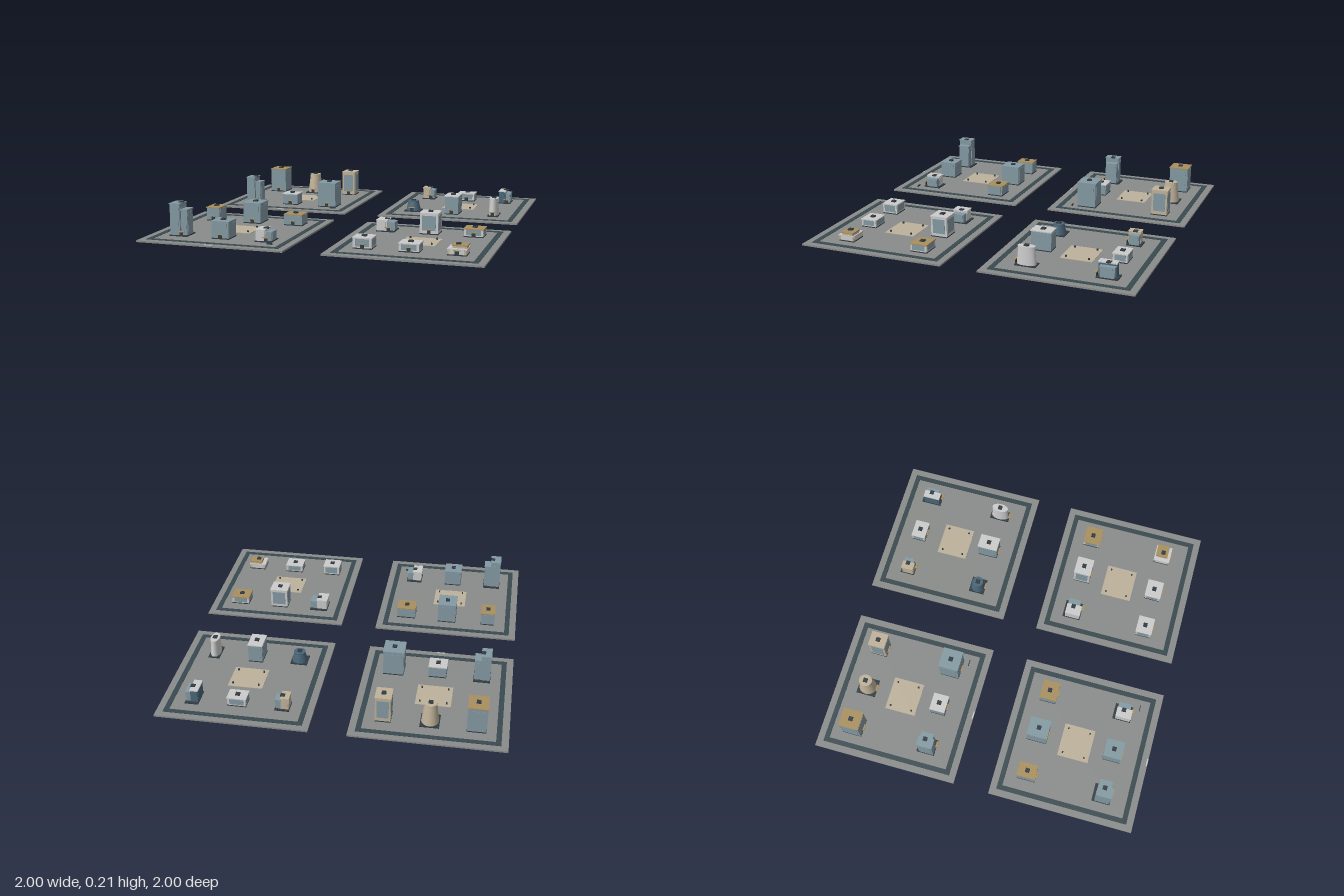
import * as THREE from 'three';

const mat = (color) => new THREE.MeshStandardMaterial({ color });
const M = {
  ground: mat(0x898c8a), road: mat(0x3a4a50), plaza: mat(0xbcb19b), dark: mat(0x323c42),
  blue: mat(0x849aa3), deep: mat(0x4a6678), pale: mat(0xbfc3c1), tan: mat(0xc0b29a), gold: mat(0xa88f5e),
};
const GROUND = 0.01;

// Box standing on height y
function box(parent, name, w, h, d, x, y, z, m) {
  const mesh = new THREE.Mesh(new THREE.BoxGeometry(w, h, d), m);
  mesh.name = name;
  mesh.position.set(x, y + h / 2, z);
  parent.add(mesh);
  return mesh;
}

// Dark plinth, gold canopy over a front door
function baseAndDoor(g, w, d, doorX = 0) {
  box(g, 'plinth', w, 0.006, d, 0, 0, 0, M.dark);
  box(g, 'door', 0.022, 0.022, 0.004, doorX, 0.004, d / 2, M.dark);
  box(g, 'canopy', 0.04, 0.004, 0.014, doorX, 0.027, d / 2 + 0.003, M.gold);
}

// Rooftop vent
function vent(g, x, y, z) {
  box(g, 'roofVent', 0.026, 0.008, 0.026, x, y, z, M.dark);
}

// Walls with a framed panel on each side and a thin roof slab
function mass(g, w, h, d, x, y, z, wall, panel, roof) {
  box(g, 'walls', w - 0.006, h - 0.006, d - 0.006, x, y, z, wall);
  const ph = h * 0.72, py = y + h * 0.14;
  box(g, 'sidePanels', w - 0.003, ph, d * 0.72, x, py, z, panel);
  box(g, 'facadePanels', w * 0.72, ph, d - 0.003, x, py, z, panel);
  box(g, 'roofSlab', w, 0.006, d, x, y + h - 0.006, z, roof);
}

// Plain block building
function block(g, { w, d, h, wall, roof }) {
  baseAndDoor(g, w - 0.004, d - 0.004);
  mass(g, w, h - 0.006, d, 0, 0.006, 0, wall, M.blue, roof);
  vent(g, 0, h, 0);
}

// Tall part with a lower wing on the +x side
function stepped(g, { w, d, h, wall, roof }) {
  baseAndDoor(g, w, d, w * 0.18);
  mass(g, w * 0.62, h - 0.006, d * 0.86, -w * 0.19, 0.006, d * 0.05, wall, wall, roof);
  mass(g, w * 0.46, h * 0.82 - 0.006, d * 0.7, w * 0.26, 0.006, 0, M.blue, M.blue, M.blue);
  vent(g, 0, h - 0.003, 0);
}

// Tapered round or oval tower on a square plinth
function round(g, { w, d, h, wall, roof, taper }) {
  baseAndDoor(g, w, d);
  const tower = new THREE.Mesh(new THREE.CylinderGeometry(taper * 0.5, 0.5, h - 0.006, 24), wall);
  tower.name = 'taperedTower';
  tower.scale.set(w * 0.92, 1, d * 0.92);
  tower.position.y = 0.006 + (h - 0.006) / 2;
  const cap = new THREE.Mesh(new THREE.CylinderGeometry(taper * 0.53, taper * 0.53, 0.005, 24), roof);
  cap.name = 'roofCap';
  cap.scale.copy(tower.scale);
  cap.position.y = h;
  g.add(tower, cap);
  vent(g, 0, h + 0.002, 0);
}

// Broad storey with a smaller one on top
function tiered(g, { w, d, h, wall, roof }) {
  baseAndDoor(g, w - 0.004, d - 0.004);
  mass(g, w, h * 0.62, d, 0, 0.004, 0, wall, M.pale, M.pale);
  mass(g, w * 0.76, h * 0.38, d * 0.76, 0.012, h * 0.62, -0.006, wall, wall, roof);
  vent(g, 0, h, 0);
}

const { blue, deep, pale, tan, gold, dark } = M;
// Six buildings per block: back row then front row, each from -x to +x
const blocks = [
  { name: 'backRightBlock', x: -0.555, z: -0.555, sign: true, buildings: [
    [block, { w: 0.115, d: 0.125, h: 0.165, wall: blue, roof: gold }],
    [round, { w: 0.11, d: 0.12, h: 0.13, wall: tan, roof: tan, taper: 0.7 }],
    [block, { w: 0.095, d: 0.105, h: 0.165, wall: tan, roof: tan }],
    [stepped, { w: 0.1, d: 0.112, h: 0.175, wall: blue, roof: blue }],
    [block, { w: 0.11, d: 0.097, h: 0.075, wall: blue, roof: pale }],
    [block, { w: 0.128, d: 0.125, h: 0.163, wall: blue, roof: blue }],
  ] },
  { name: 'backLeftBlock', x: 0.555, z: -0.555, buildings: [
    [stepped, { w: 0.085, d: 0.09, h: 0.08, wall: tan, roof: tan }],
    [block, { w: 0.115, d: 0.09, h: 0.055, wall: pale, roof: pale }],
    [stepped, { w: 0.08, d: 0.125, h: 0.085, wall: deep, roof: pale }],
    [round, { w: 0.102, d: 0.098, h: 0.065, wall: deep, roof: deep, taper: 0.72 }],
    [block, { w: 0.092, d: 0.128, h: 0.12, wall: blue, roof: pale }],
    [round, { w: 0.068, d: 0.125, h: 0.11, wall: pale, roof: pale, taper: 0.85 }],
  ] },
  { name: 'frontRightBlock', x: -0.555, z: 0.555, sign: true, buildings: [
    [block, { w: 0.09, d: 0.115, h: 0.085, wall: blue, roof: gold }],
    [block, { w: 0.118, d: 0.128, h: 0.128, wall: blue, roof: blue }],
    [block, { w: 0.12, d: 0.105, h: 0.07, wall: blue, roof: gold }],
    [stepped, { w: 0.11, d: 0.112, h: 0.192, wall: blue, roof: blue }],
    [block, { w: 0.112, d: 0.112, h: 0.105, wall: blue, roof: blue }],
    [stepped, { w: 0.1, d: 0.112, h: 0.072, wall: pale, roof: pale }],
  ] },
  { name: 'frontLeftBlock', x: 0.555, z: 0.555, buildings: [
    [stepped, { w: 0.112, d: 0.112, h: 0.07, wall: pale, roof: pale }],
    [block, { w: 0.115, d: 0.108, h: 0.128, wall: pale, roof: pale }],
    [block, { w: 0.118, d: 0.108, h: 0.05, wall: pale, roof: gold }],
    [block, { w: 0.113, d: 0.102, h: 0.065, wall: pale, roof: pale }],
    [block, { w: 0.118, d: 0.102, h: 0.05, wall: pale, roof: pale }],
    [tiered, { w: 0.11, d: 0.102, h: 0.055, wall: tan, roof: gold }],
  ] },
];

function cityBlock({ name, x, z, sign, buildings }) {
  const g = new THREE.Group();
  g.name = name;
  g.position.set(x, 0, z);
  box(g, 'groundSlab', 0.89, GROUND, 0.89, 0, 0, 0, M.ground);

  // Ring road
  for (const s of [-1, 1]) {
    box(g, 'roadAcross', 0.81, 0.002, 0.03, 0, GROUND, s * 0.39, M.road);
    box(g, 'roadAlong', 0.03, 0.002, 0.75, s * 0.39, GROUND, 0, M.road);
  }

  // Central plaza with a post near each corner
  box(g, 'plaza', 0.208, 0.002, 0.192, 0, GROUND, -0.007, M.plaza);
  for (const px of [-0.078, 0.078])
    for (const pz of [-0.075, 0.06])
      box(g, 'plazaPost', 0.009, 0.012, 0.009, px, GROUND, pz, dark);

  // Entry kerb and small sign
  if (sign) {
    box(g, 'entryKerb', 0.045, 0.002, 0.008, 0, GROUND, 0.44, M.pale);
    box(g, 'signBoard', 0.036, 0.01, 0.004, 0.32, GROUND, 0.319, dark);
  }

  buildings.forEach(([make, spec], i) => {
    const b = new THREE.Group();
    b.name = 'building' + (i + 1);
    b.position.set(((i % 3) - 1) * 0.264, GROUND, i < 3 ? -0.248 : 0.224);
    make(b, spec);
    g.add(b);
  });
  return g;
}

export function createModel() {
  const model = new THREE.Group();
  model.name = 'cityDistrict';
  blocks.forEach((b) => model.add(cityBlock(b)));
  return model;
}
